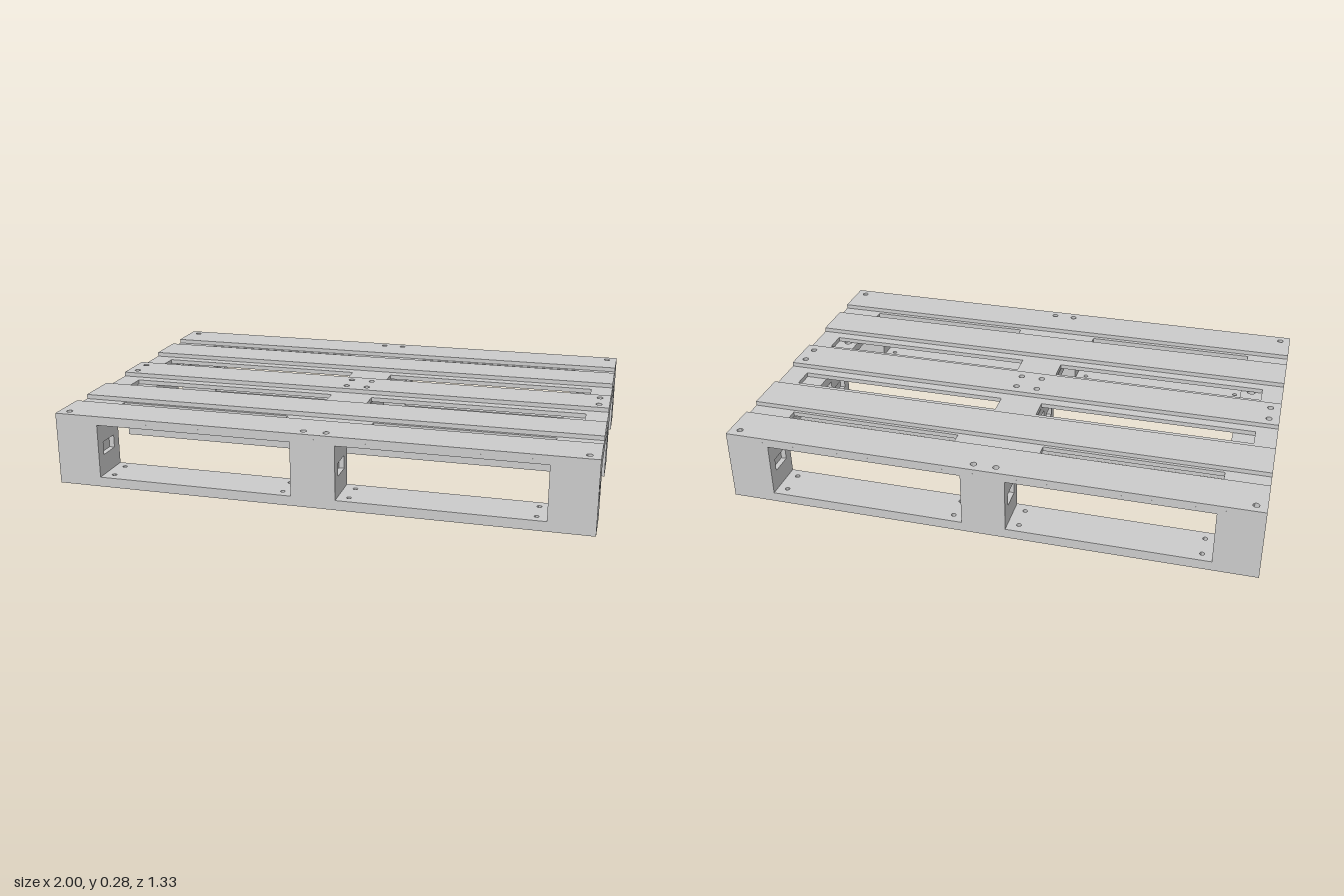
import * as THREE from 'three';

const material = new THREE.MeshStandardMaterial({ color: 0xcccccc, flatShading: true });

// Closed rectangular path around (cx, cy)
function rect(path, cx, cy, w, h) {
  path.moveTo(cx - w / 2, cy - h / 2);
  path.lineTo(cx + w / 2, cy - h / 2);
  path.lineTo(cx + w / 2, cy + h / 2);
  path.lineTo(cx - w / 2, cy + h / 2);
  path.closePath();
  return path;
}

const slot = (x, y, w, h) => rect(new THREE.Path(), x, y, w, h);
const roundHole = (x, y, r) => new THREE.Path().absarc(x, y, r, 0, Math.PI * 2, true);

// Horizontal plate; holes use (x, -z) coordinates relative to its centre
function plate(name, x, z, w, d, y0, y1, holes = []) {
  const shape = rect(new THREE.Shape(), 0, 0, w, d);
  shape.holes.push(...holes);
  const geo = new THREE.ExtrudeGeometry(shape, { depth: y1 - y0, bevelEnabled: false, curveSegments: 6 });
  geo.rotateX(-Math.PI / 2);
  const mesh = new THREE.Mesh(geo, material);
  mesh.name = name;
  mesh.position.set(x, y0, z);
  return mesh;
}

const W = 1 / 6;                 // width of boards, blocks and cross members
const BOTTOM = 0.037, CROSS = 0.207, DECK = 0.243, SLAT = 0.26, TOP = 0.277;
const RUNNERS = [-0.5833, 0, 0.5833];
const COLUMNS = [-0.9167, 0, 0.9167];
const RECESS = 0.02;

// Spacer block with a shallow rectangular recess in each end face
function spacerBlock(x, z) {
  const block = new THREE.Group();
  block.name = 'spacerBlock';
  const h = DECK - BOTTOM;
  const core = new THREE.Mesh(new THREE.BoxGeometry(W - 2 * RECESS, h, W), material);
  core.name = 'blockCore';
  block.add(core);
  const mid = (DECK + BOTTOM) / 2;
  const shape = rect(new THREE.Shape(), 0, 0, W, h);
  shape.holes.push(slot(0, 0.139 - mid, 0.086, 0.05));
  for (const x0 of [-W / 2, W / 2 - RECESS]) {
    const geo = new THREE.ExtrudeGeometry(shape, { depth: RECESS, bevelEnabled: false });
    geo.rotateY(Math.PI / 2);
    const end = new THREE.Mesh(geo, material);
    end.name = 'recessedBlockEnd';
    end.position.x = x0;
    block.add(end);
  }
  block.position.set(x, mid, z);
  return block;
}

export function createModel() {
  const model = new THREE.Group();
  model.name = 'pallet';

  // Bottom runners with drain holes, and the blocks on them
  for (const z of RUNNERS) {
    const drains = [];
    for (const x of [0.04, 0.125, 0.795, 0.875, 0.96])
      for (const s of [-1, 1])
        for (const dz of [-0.045, 0.045]) drains.push(roundHole(s * x, dz, 0.009));
    model.add(plate('bottomRunner', 0, z, 2, W, 0, BOTTOM, drains));
    for (const x of COLUMNS) model.add(spacerBlock(x, z));
  }

  // Perforated cross members between the runners
  for (const x of COLUMNS)
    for (const side of [-1, 1]) {
      const holes = [];
      for (const dx of [-0.042, 0.042])
        for (let i = 0; i < 4; i++) holes.push(roundHole(dx, (i - 1.5) * 0.055, 0.017));
      model.add(plate('crossMember', x, side * 0.2917, W, 0.4167, CROSS, DECK, holes));
    }

  // Deck sheet with long openings between the slats
  const openings = [];
  for (const sx of [-1, 1])
    for (const sz of [-1, 1]) {
      openings.push(slot(sx * 0.5, sz * 0.457, 0.67, 0.053));
      openings.push(slot(sx * 0.5, sz * 0.167, 0.835, 0.086));
    }
  model.add(plate('deckSheet', 0, 0, 2, 4 / 3, DECK, SLAT, openings));

  // Raised slats; the outer and middle ones have screw holes
  const slats = [
    [-0.5833, [-0.63]], [-0.335, []], [0, [-0.042, 0.042]], [0.335, []], [0.5833, [0.63]],
  ];
  for (const [z, rows] of slats) {
    const screws = [];
    for (const row of rows)
      for (const x of [-0.96, -0.042, 0.042, 0.96]) screws.push(roundHole(x, z - row, 0.012));
    model.add(plate('topSlat', 0, z, 2, W, SLAT, TOP, screws));
  }

  return model;
}
